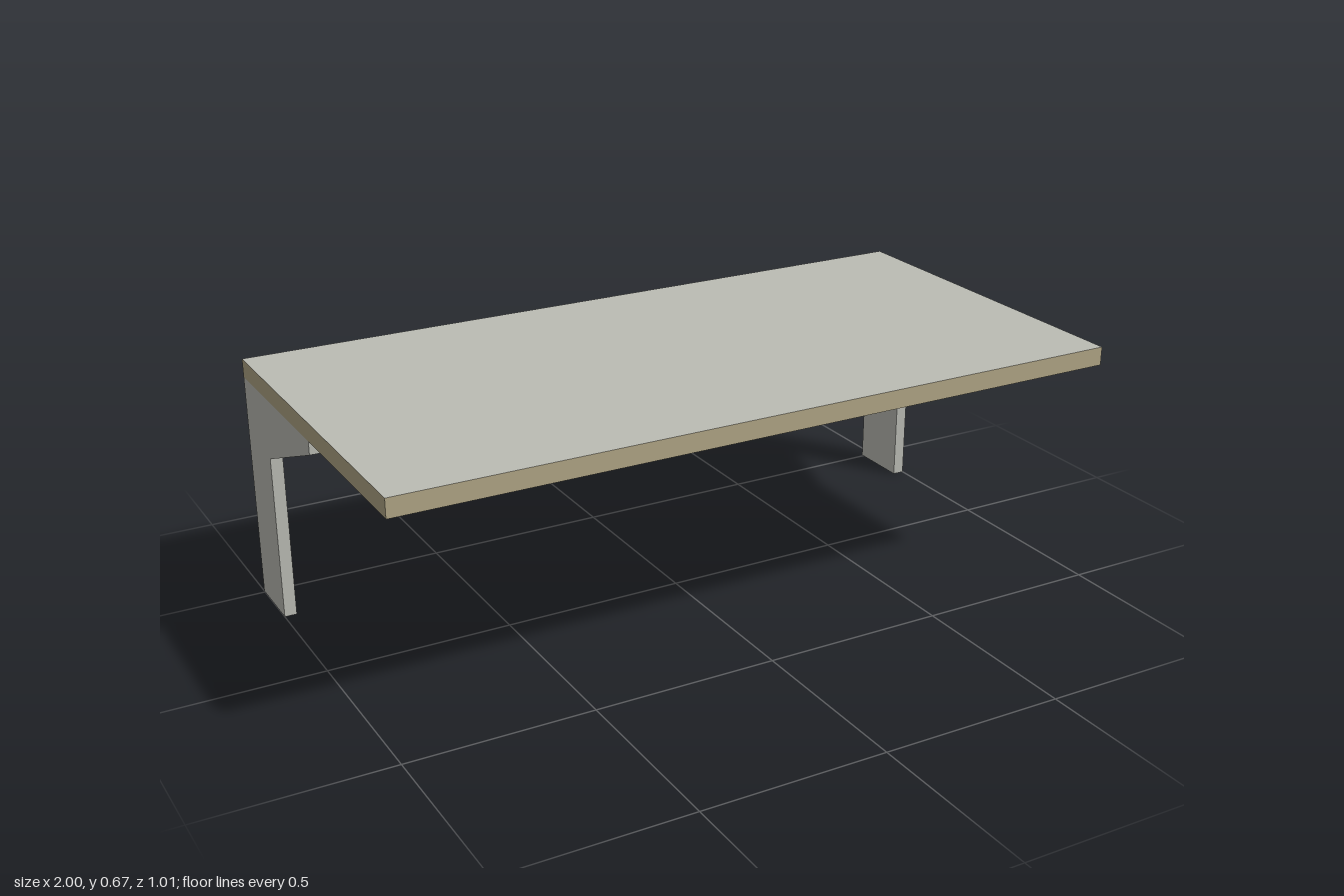
import * as THREE from 'three';

const TOP = 0.67, UNDER = 0.62, HALF_DEPTH = 0.507, LEG_THICKNESS = 0.033;

export function createModel() {
  const model = new THREE.Group();
  model.name = 'table';
  const grey = new THREE.MeshStandardMaterial({ color: 0xbbbcb4 });
  grey.name = 'warm grey';
  const tan = new THREE.MeshStandardMaterial({ color: 0xb1a686 });
  tan.name = 'tan edging';

  // Table top: tan on the front and side edges, grey elsewhere
  const top = new THREE.Mesh(
    new THREE.BoxGeometry(2, TOP - UNDER, HALF_DEPTH * 2),
    [tan, tan, grey, grey, tan, grey]
  );
  top.name = 'tableTop';
  top.position.y = (TOP + UNDER) / 2;
  model.add(top);

  // Bracketed leg panel, drawn from the middle (0) towards the back
  const profile = new THREE.Shape([
    [0, UNDER], [0, 0.585], [0.333, 0.453], [0.333, 0],
    [HALF_DEPTH, 0], [HALF_DEPTH, UNDER],
  ].map(([back, y]) => new THREE.Vector2(back, y)));
  const legGeometry = new THREE.ExtrudeGeometry(profile, { depth: LEG_THICKNESS, bevelEnabled: false });
  legGeometry.rotateY(Math.PI / 2);

  // One leg flush with each end
  for (const [name, x] of [['leftLeg', 1 - LEG_THICKNESS], ['rightLeg', -1]]) {
    const leg = new THREE.Mesh(legGeometry, grey);
    leg.name = name;
    leg.position.x = x;
    model.add(leg);
  }
  return model;
}
